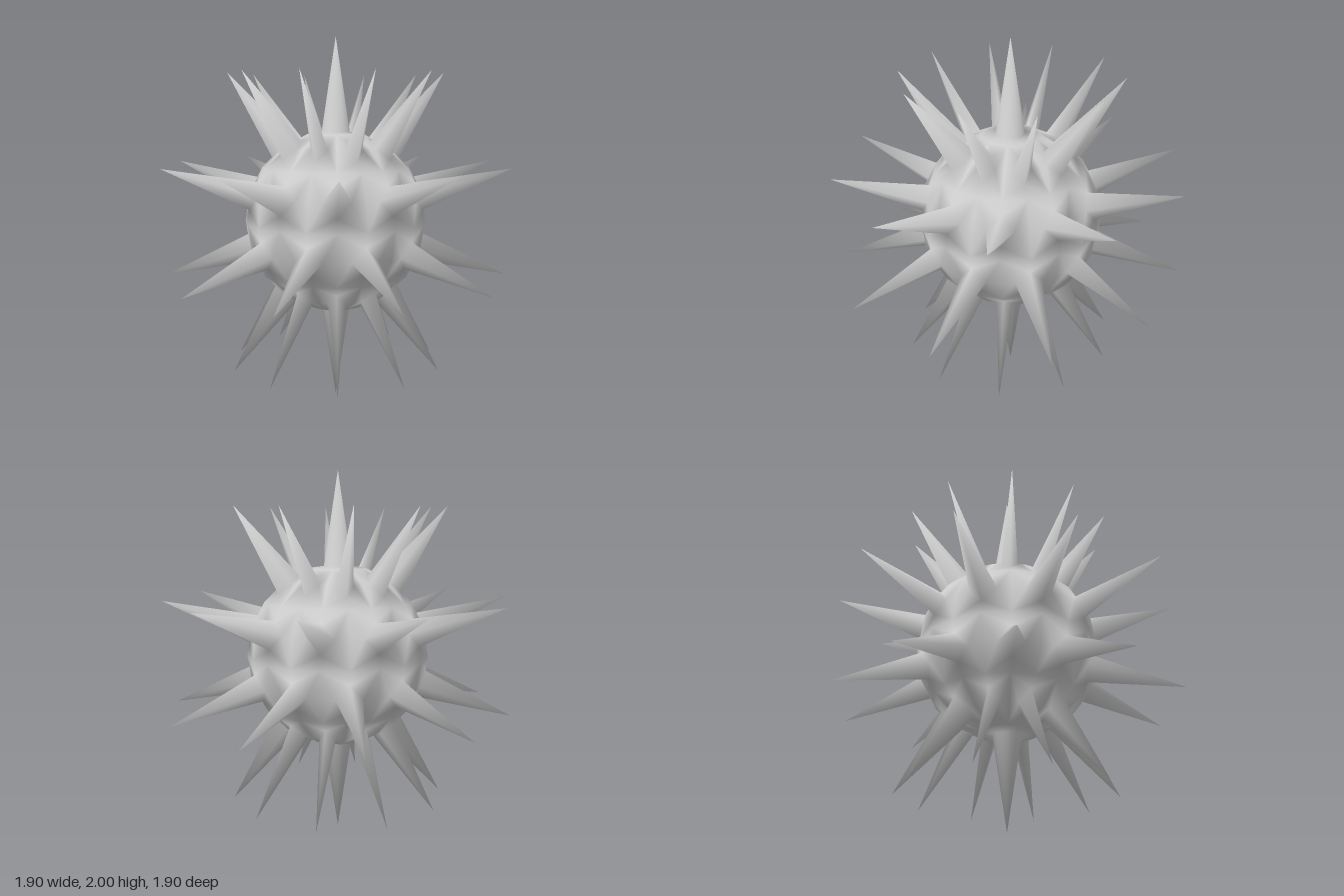
import * as THREE from 'three';
import { mergeVertices } from 'three/addons/utils/BufferGeometryUtils.js';

const SEGMENTS = 20; // around
const RINGS = 10;    // pole to pole
const BALL = 0.5;    // ball radius
const REACH = 1;     // centre to spike tip

// Point on the latitude/longitude grid; ring 0 is the top pole, segment 0 faces +x.
function gridPoint(ring, seg, radius) {
  const polar = (ring / RINGS) * Math.PI;
  const around = (seg / SEGMENTS) * Math.PI * 2;
  return new THREE.Vector3(
    Math.sin(polar) * Math.cos(around),
    Math.cos(polar),
    Math.sin(polar) * Math.sin(around)
  ).multiplyScalar(radius);
}

// Spikes stand on both poles and on every other point of every second ring, staggered.
function hasSpike(ring, seg) {
  if (ring === 0 || ring === RINGS) return true;
  return ring % 2 === 0 && (seg + ring / 2) % 2 === 0;
}

function spikedBallGeometry() {
  const positions = [];
  const triangle = (...pts) => pts.forEach((p) => positions.push(p.x, p.y, p.z));

  for (let ring = 0; ring < RINGS; ring++) {
    for (let seg = 0; seg < SEGMENTS; seg++) {
      // Corners of one grid cell, counter-clockwise from outside; pole cells have three.
      let corners = [[ring, seg], [ring, seg + 1], [ring + 1, seg + 1], [ring + 1, seg]];
      if (ring === 0) corners.splice(1, 1);
      if (ring === RINGS - 1) corners.splice(2, 1);

      // Each cell has exactly one spiked corner; put it first.
      const first = corners.findIndex(([r, s]) => hasSpike(r, s));
      corners = [...corners.slice(first), ...corners.slice(0, first)];
      const [root, ...rest] = corners.map(([r, s]) => gridPoint(r, s, BALL));
      const tip = gridPoint(...corners[0], REACH);

      // Spike side: starts halfway along the two edges that meet at the corner.
      const after = root.clone().lerp(rest[0], 0.5);
      const before = root.clone().lerp(rest[rest.length - 1], 0.5);
      triangle(before, tip, after);

      // Ball surface: the rest of the cell, as a fan from the far corner.
      const outline = [after, ...rest, before];
      const n = outline.length;
      const far = Math.floor(n / 2);
      for (let j = 1; j < n - 1; j++) {
        triangle(outline[far], outline[(far + j) % n], outline[(far + j + 1) % n]);
      }
    }
  }

  // Shared points give soft shading that flows from the ball into the spikes.
  let geometry = new THREE.BufferGeometry();
  geometry.setAttribute('position', new THREE.Float32BufferAttribute(positions, 3));
  geometry = mergeVertices(geometry, 1e-4);
  geometry.computeVertexNormals();
  return geometry;
}

export function createModel() {
  const model = new THREE.Group();
  model.name = 'spikedBallModel';
  const ball = new THREE.Mesh(
    spikedBallGeometry(),
    new THREE.MeshStandardMaterial({ color: 0xcccccc })
  );
  ball.name = 'spikedBall';
  ball.position.y = REACH;
  model.add(ball);
  return model;
}
